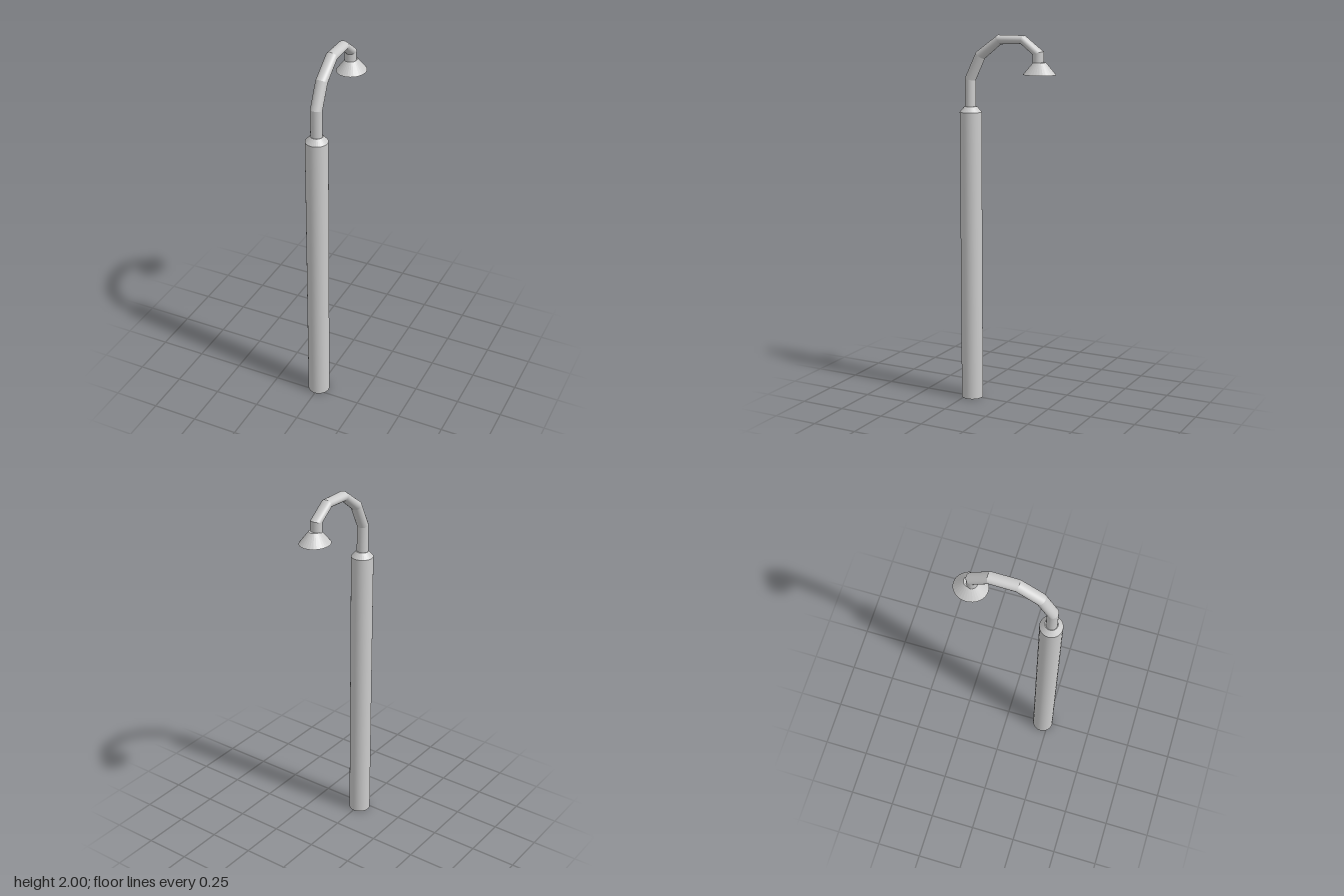
import * as THREE from 'three';

const SIDES = 32;
const POLE_Z = 0.217, SHADE_Z = -0.188, AXIS_X = -0.002;

// One straight length of pipe, lofted between two slanted rings.
// Each ring is given by its outer and inner edge as [z, y].
function pipeSegment(start, end, radius) {
  const points = [], index = [];
  for (const [outer, inner] of [start, end]) {
    const cz = (outer[0] + inner[0]) / 2, cy = (outer[1] + inner[1]) / 2;
    for (let i = 0; i < SIDES; i++) {
      const a = (i / SIDES) * Math.PI * 2, c = Math.cos(a);
      points.push(Math.sin(a) * radius, cy + c * (outer[1] - cy), cz + c * (outer[0] - cz));
    }
  }
  for (let i = 0; i < SIDES; i++) {
    const j = (i + 1) % SIDES;
    index.push(i, j, j + SIDES, i, j + SIDES, i + SIDES);
  }
  const geometry = new THREE.BufferGeometry();
  geometry.setAttribute('position', new THREE.Float32BufferAttribute(points, 3));
  geometry.setIndex(index);
  geometry.computeVertexNormals();
  return geometry;
}

export function createModel() {
  const model = new THREE.Group();
  model.name = 'streetLamp';
  const smooth = new THREE.MeshStandardMaterial({ color: 0xcccccc });
  const faceted = new THREE.MeshStandardMaterial({ color: 0xcccccc, flatShading: true });

  const add = (parent, name, geometry, material) => {
    const mesh = new THREE.Mesh(geometry, material);
    mesh.name = name;
    parent.add(mesh);
    return mesh;
  };

  // Post with a sloping collar
  add(model, 'post', new THREE.CylinderGeometry(0.059, 0.059, 1.59, SIDES), smooth)
    .position.set(AXIS_X, 0.795, POLE_Z);
  add(model, 'collar', new THREE.CylinderGeometry(0.033, 0.059, 0.03, SIDES), faceted)
    .position.set(AXIS_X, 1.605, POLE_Z);

  // Bent pipe: outer and inner edge of each joint
  const joints = [
    [[0.247, 1.6], [0.19, 1.6]],
    [[0.247, 1.77], [0.19, 1.757]],
    [[0.18, 1.908], [0.135, 1.873]],
    [[0.052, 2.0], [0.038, 1.951]],
    [[-0.1, 2.0], [-0.082, 1.957]],
    [[-0.207, 1.92], [-0.151, 1.903]],
    [[-0.207, 1.86], [-0.151, 1.86]],
  ];
  const pipe = new THREE.Group();
  pipe.name = 'pipe';
  pipe.position.x = AXIS_X;
  for (let i = 0; i < joints.length - 1; i++) {
    add(pipe, 'pipeSegment' + (i + 1), pipeSegment(joints[i], joints[i + 1], 0.031), smooth);
  }
  model.add(pipe);

  // Oval shade, closed underneath
  const shade = add(model, 'shade', new THREE.CylinderGeometry(0.03, 0.078, 0.063, SIDES), faceted);
  shade.position.set(0, 1.8335, SHADE_Z);
  shade.scale.z = 1.12;

  return model;
}
